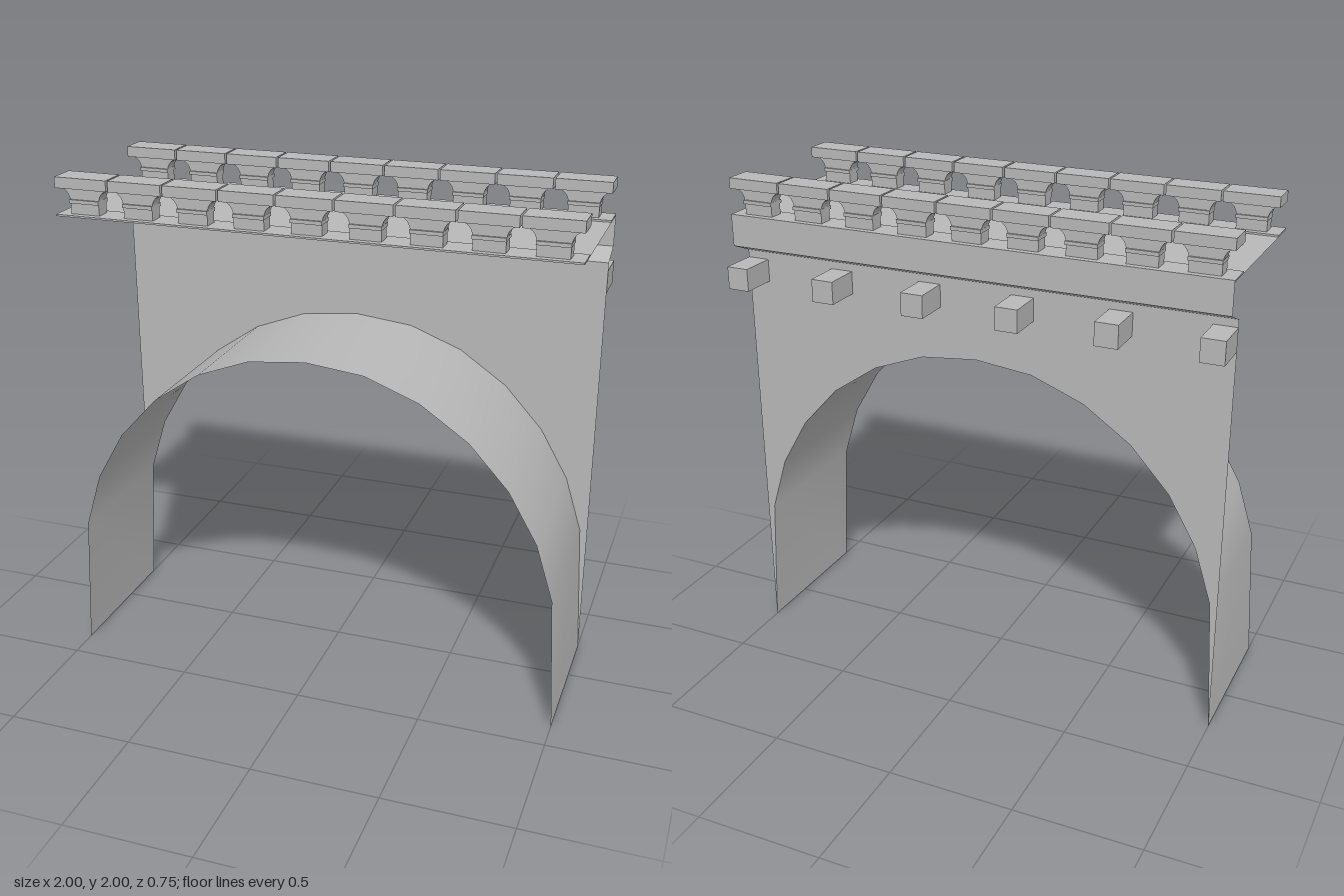
import * as THREE from 'three';

export function createModel() {
  const bridge = new THREE.Group();
  bridge.name = 'archBridge';
  const stone = new THREE.MeshStandardMaterial({ color: 0xb8b8b8, side: THREE.DoubleSide });
  stone.name = 'stone grey';

  const add = (name, geometry, parent = bridge, x = 0, y = 0, z = 0) => {
    const mesh = new THREE.Mesh(geometry, stone);
    mesh.name = name;
    mesh.position.set(x, y, z);
    parent.add(mesh);
    return mesh;
  };
  const box = (name, w, h, d, x, y, z, parent) =>
    add(name, new THREE.BoxGeometry(w, h, d), parent, x, y, z);

  // Open sheet swept along x or z between two matching rows of points
  const strip = (rowA, rowB) => {
    const g = new THREE.BufferGeometry();
    g.setAttribute('position', new THREE.Float32BufferAttribute([...rowA, ...rowB].flat(), 3));
    const n = rowA.length, index = [];
    for (let i = 0; i < n - 1; i++) index.push(i, n + i, i + 1, i + 1, n + i, n + i + 1);
    g.setIndex(index);
    g.computeVertexNormals();
    return g;
  };

  const back = -0.23, front = 0.377, edge = -0.325;
  const wallTop = 1.69, fasciaBottom = 1.73, deckY = 1.85;

  // Arch outline, mirrored about the crown
  const half = [[1, 0], [0.97, 0.55], [0.9, 0.775], [0.785, 0.975], [0.63, 1.145], [0.44, 1.275], [0.23, 1.355]];
  const arch = [
    ...half.map(([x, y]) => [-x, y]),
    [0, 1.38],
    ...half.slice().reverse(),
  ];

  // Vault under the arch
  add('archVault', strip(arch.map(([x, y]) => [x, y, front]), arch.map(([x, y]) => [x, y, back])));

  // Back wall above the arch
  const wall = new THREE.Shape(
    [...arch, [1, wallTop], [-1, wallTop]].map(([x, y]) => new THREE.Vector2(x, y)));
  add('backWall', new THREE.ShapeGeometry(wall), bridge, 0, 0, back);

  // Deck, fascia and sloping soffit as separate flat sheets
  const sheet = (name, [y0, z0], [y1, z1]) =>
    add(name, strip([[-1, y0, z0], [1, y0, z0]], [[-1, y1, z1], [1, y1, z1]]));
  sheet('deck', [deckY, edge], [deckY, front]);
  sheet('fascia', [fasciaBottom, edge], [deckY, edge]);
  sheet('corniceSoffit', [wallTop, back], [fasciaBottom, edge]);

  // Corbels along the back wall
  for (let i = 0; i < 6; i++) {
    box('corbel', 0.09, 0.09, 0.148, -0.955 + i * 0.382, 1.615, back - 0.074);
  }

  // Baluster with flared, arched shoulders
  const pitch = 2 / 9, waist = 0.059, shoulder = 1.906, top = 1.958;
  const s = new THREE.Shape();
  s.moveTo(-waist, deckY);
  s.lineTo(waist, deckY);
  s.lineTo(waist, shoulder);
  s.quadraticCurveTo(waist + 0.005, top - 0.006, pitch / 2 - 0.003, top);
  s.lineTo(-pitch / 2 + 0.003, top);
  s.quadraticCurveTo(-waist - 0.005, top - 0.006, -waist, shoulder);
  const balusterGeo = new THREE.ExtrudeGeometry(s, { depth: 0.06, bevelEnabled: false, curveSegments: 6 });
  balusterGeo.translate(0, 0, -0.03);

  // Balustrades on both sides of the deck
  for (const z of [-0.27, 0.321]) {
    const rail = new THREE.Group();
    rail.name = 'balustrade';
    rail.position.z = z;
    bridge.add(rail);
    box('basePlate', 2, 0.007, 0.112, 0, deckY + 0.0035, 0, rail);
    for (let i = 0; i < 9; i++) {
      const x = -1 + pitch * (i + 0.5);
      add('baluster', balusterGeo, rail, x, 0, 0);
      box('balusterCollar', 0.122, 0.014, 0.076, x, shoulder, 0, rail);
      box('railCap', pitch - 0.008, 0.042, 0.112, x, 1.979, 0, rail);
    }
  }
  return bridge;
}
